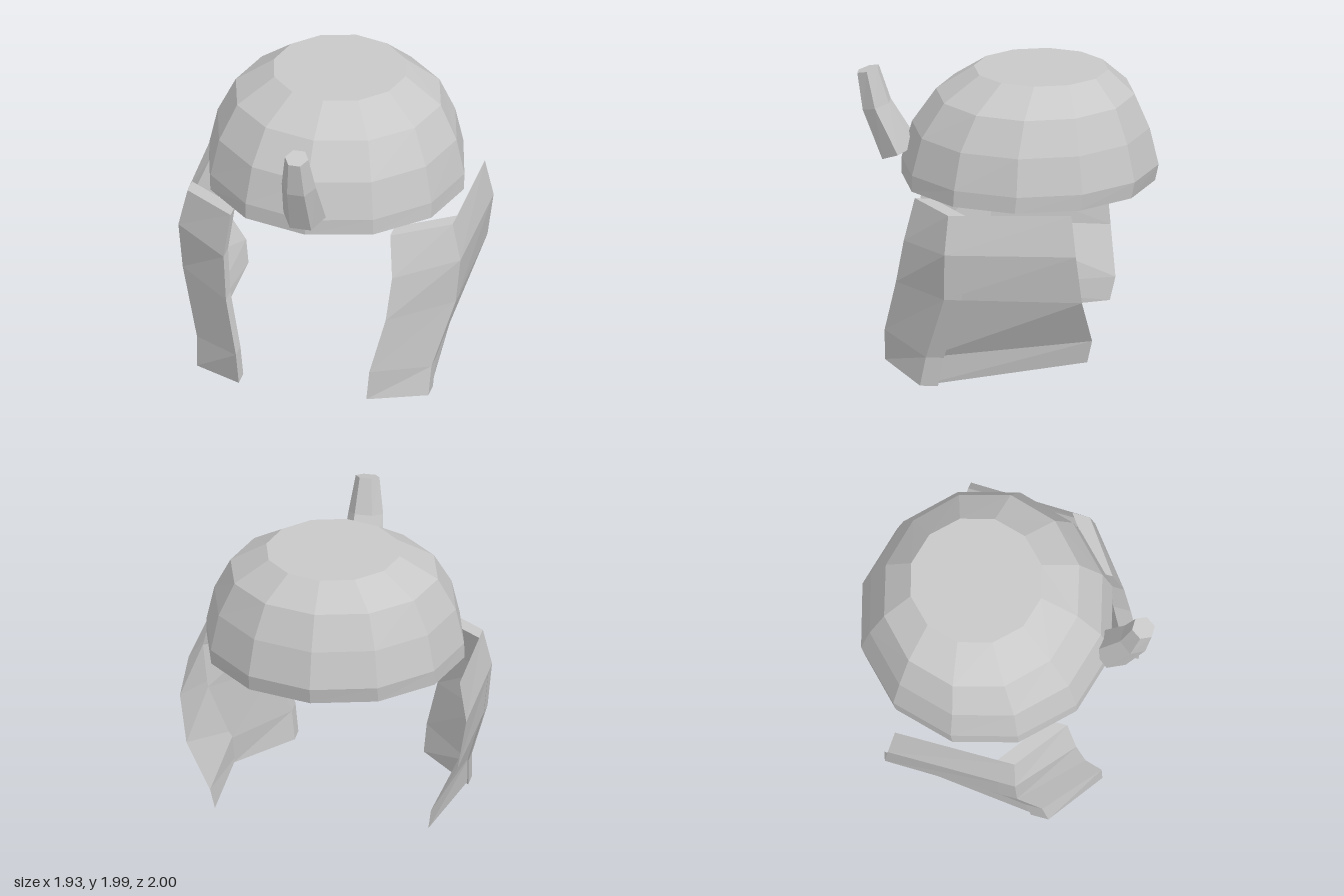
import * as THREE from 'three';

const steel = new THREE.MeshStandardMaterial({ color: 0xc8c8c8, flatShading: true, side: THREE.DoubleSide });
steel.name = 'light grey';

// Joins cross-sections listed bottom to top; rings run counter-clockwise seen from above
function loft(name, rings, closed = true) {
  const out = [];
  const tri = (...pts) => pts.forEach((p) => out.push(...p));
  const n = rings[0].length;
  for (let r = 0; r < rings.length - 1; r++) {
    const lo = rings[r], hi = rings[r + 1];
    for (let i = 0; i < (closed ? n : n - 1); i++) {
      const j = (i + 1) % n;
      tri(lo[i], lo[j], hi[j]);
      tri(lo[i], hi[j], hi[i]);
    }
  }
  if (closed) {
    const bottom = rings[0], top = rings[rings.length - 1];
    for (let i = 1; i < n - 1; i++) {
      tri(bottom[0], bottom[i + 1], bottom[i]);
      tri(top[0], top[i], top[i + 1]);
    }
  }
  const geo = new THREE.BufferGeometry();
  geo.setAttribute('position', new THREE.Float32BufferAttribute(out, 3));
  geo.computeVertexNormals();
  const mesh = new THREE.Mesh(geo, steel);
  mesh.name = name;
  return mesh;
}

// Mirrors rings to the given side, keeping their turning direction
const toSide = (rings, s) => rings.map((ring) => {
  const pts = ring.map(([x, y, z]) => [x * s, y, z]);
  return s < 0 ? pts.reverse() : pts;
});

export function createModel() {
  const group = new THREE.Group();
  group.name = 'helmet';

  // Twelve-sided dome: y, half width, half depth, centre z
  const dome = [
    [1.23, 0.87, 0.843, -0.133],
    [1.34, 0.87, 0.855, -0.145],
    [1.59, 0.815, 0.79, -0.15],
    [1.82, 0.7, 0.66, -0.18],
    [1.985, 0.45, 0.447, -0.218],
  ].map(([y, rx, rz, cz]) => Array.from({ length: 12 }, (_, i) => {
    const t = (i / 12) * Math.PI * 2;
    return [rx * Math.sin(t), y, cz + rz * Math.cos(t)];
  }));
  group.add(loft('dome', dome));

  // Six-sided tapering horn: centre y, centre z, half width, half depth, tilt rise
  const horn = [
    [1.39, 0.72, 0.145, 0.11, 0.05],
    [1.698, 0.875, 0.117, 0.087, 0.026],
    [1.94, 0.933, 0.08, 0.067, 0.02],
  ].map(([y, z, w, d, rise]) => [
    [-w / 2, y - rise, z + d], [w / 2, y - rise, z + d], [w, y, z],
    [w / 2, y + rise, z - d], [-w / 2, y + rise, z - d], [-w, y, z],
  ]);
  group.add(loft('frontHorn', horn));

  // Guard columns, bottom to top
  const frontEdge = [[0.435, 0.07, 0.775], [0.455, 0.28, 0.775], [0.545, 0.64, 0.69], [0.575, 0.935, 0.635], [0.545, 1.22, 0.565]];
  const corner = [[0.79, 0, 0.505], [0.8, 0.2, 0.465], [0.932, 0.64, 0.33], [0.963, 0.955, 0.325], [0.905, 1.212, 0.305]];
  const backEdge = [[0.72, 0.175, -0.6], [0.745, 0.33, -0.635], [0.915, 0.64, -0.585], [0.966, 0.97, -0.55], [0.915, 1.24, -0.515]];
  const inward = ([x, y, z]) => [x, y, z - 0.12];

  // Thick cheek plates and thin side sheets
  const cheek = frontEdge.map((f, i) => [f, corner[i], inward(corner[i]), inward(f)]);
  const sheet = corner.map((c, i) => [c, backEdge[i]]);
  for (const [side, s] of [['left', 1], ['right', -1]]) {
    group.add(loft(side + 'CheekPlate', toSide(cheek, s)));
    group.add(loft(side + 'SideGuard', toSide(sheet, s), false));
  }
  return group;
}
